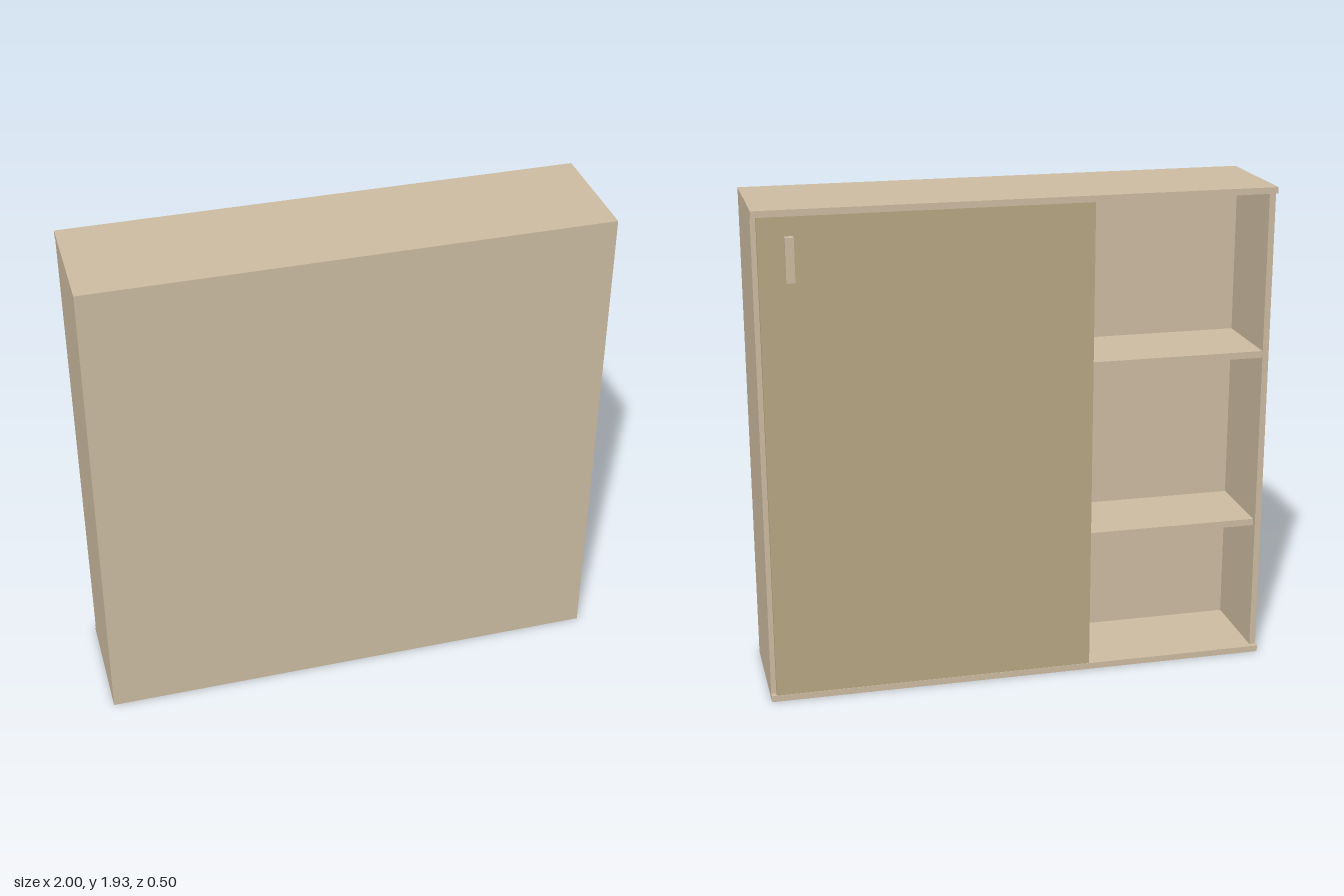
import * as THREE from 'three';

export function createModel() {
  const group = new THREE.Group();
  group.name = 'cabinet';
  const wood = new THREE.MeshStandardMaterial({ color: 0xcdbda2 });
  const doorWood = new THREE.MeshStandardMaterial({ color: 0xb9a883 });

  // Adds a box given its lower and upper limits on each axis
  function addBox(name, [x0, x1], [y0, y1], [z0, z1], material = wood) {
    const mesh = new THREE.Mesh(new THREE.BoxGeometry(x1 - x0, y1 - y0, z1 - z0), material);
    mesh.position.set((x0 + x1) / 2, (y0 + y1) / 2, (z0 + z1) / 2);
    mesh.name = name;
    group.add(mesh);
  }

  const height = 1.935, t = 0.025, inner = 1 - t;
  const front = 0.25, panelBack = 0.155, sideBack = -0.2, trackBack = -0.222;

  // Top and bottom boards overhang the sides to hold the sliding door
  addBox('bottomBoard', [-1, 1], [0, t], [trackBack, front]);
  addBox('topBoard', [-1, 1], [height - t, height], [trackBack, front]);

  // Side boards
  for (const s of [-1, 1]) {
    const xs = s < 0 ? [-1, -inner] : [inner, 1];
    addBox(s < 0 ? 'rightSide' : 'leftSide', xs, [t, height - t], [sideBack, front]);
  }

  // Closed front panel and the shelves behind it
  addBox('frontPanel', [-inner, inner], [t, height - t], [panelBack, front]);
  addBox('lowerShelf', [-inner, inner], [0.545, 0.572], [-0.18, panelBack]);
  addBox('upperShelf', [-inner, inner], [1.256, 1.283], [-0.197, panelBack]);

  // Sliding door and its handle
  addBox('slidingDoor', [-0.281, 0.98], [t, height - t], [-0.22, sideBack], doorWood);
  addBox('doorHandle', [0.85, 0.883], [1.67, 1.838], [-0.248, -0.22]);

  return group;
}
